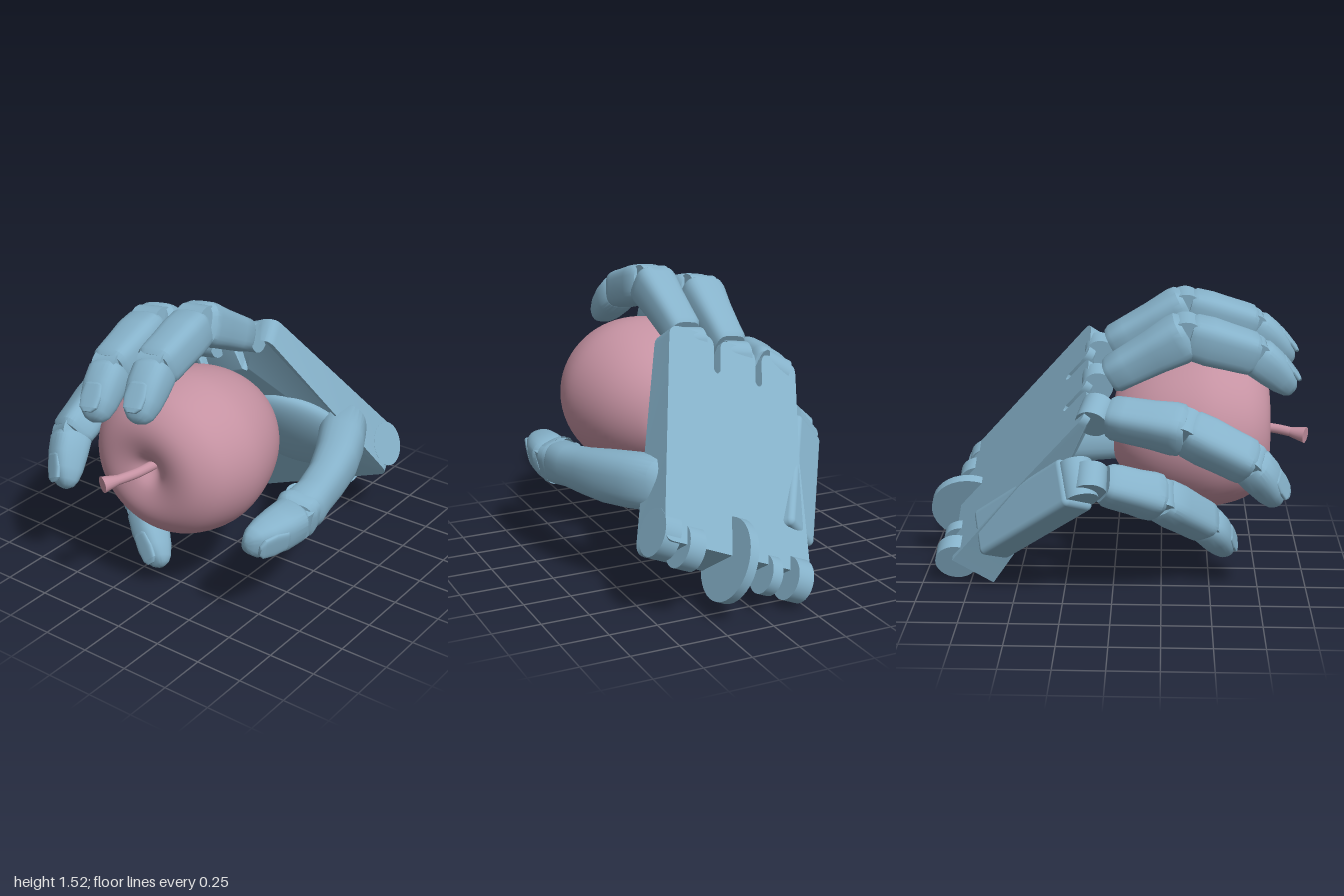
import * as THREE from 'three';
import { toCreasedNormals } from 'three/addons/utils/BufferGeometryUtils.js';
import { RoundedBoxGeometry } from 'three/addons/geometries/RoundedBoxGeometry.js';

const V = (x, y, z) => new THREE.Vector3(x, y, z);
const handMat = new THREE.MeshStandardMaterial({ color: 0x86b2ca });
const appleMat = new THREE.MeshStandardMaterial({ color: 0xc592a2 });

function add(parent, name, geometry, material = handMat) {
  const mesh = new THREE.Mesh(geometry, material);
  mesh.name = name;
  parent.add(mesh);
  return mesh;
}

// Group whose local y runs from a to b, x follows the hinge axis, z points to the palm side
function frame(parent, name, a, b, side) {
  const y = b.clone().sub(a).normalize();
  const z = side.clone().cross(y).normalize();
  const x = y.clone().cross(z);
  const g = new THREE.Group();
  g.name = name;
  g.setRotationFromMatrix(new THREE.Matrix4().makeBasis(x, y, z));
  g.position.copy(a);
  parent.add(g);
  return g;
}

// Rounded-square sections [y, half width, half depth, z shift] joined along y, closed at both ends
function loft(sections, power = 0.6, n = 28) {
  const pos = [], idx = [];
  const pw = (v) => Math.sign(v) * Math.pow(Math.abs(v), power);
  for (const [y, w, d, s = 0] of sections) {
    for (let i = 0; i < n; i++) {
      const t = (i / n) * Math.PI * 2;
      pos.push(w * pw(Math.cos(t)), y, d * pw(Math.sin(t)) + s);
    }
  }
  for (let k = 0; k < sections.length - 1; k++) {
    for (let i = 0; i < n; i++) {
      const a = k * n + i, b = k * n + (i + 1) % n;
      idx.push(a, a + n, b, b, a + n, b + n);
    }
  }
  const last = sections.length - 1;
  const c = pos.length / 3;
  pos.push(0, sections[0][0], sections[0][3] || 0, 0, sections[last][0], sections[last][3] || 0);
  for (let i = 0; i < n; i++) {
    const j = (i + 1) % n;
    idx.push(c, i, j, c + 1, last * n + j, last * n + i);
  }
  const g = new THREE.BufferGeometry();
  g.setAttribute('position', new THREE.Float32BufferAttribute(pos, 3));
  g.setIndex(idx);
  return toCreasedNormals(g, 0.6);
}

// Disc whose axle runs along local x
function disc(radius, width) {
  return toCreasedNormals(new THREE.CylinderGeometry(radius, radius, width, 36).rotateZ(Math.PI / 2), 0.6);
}

// A chain of phalanges with hinge barrels, ending in a rounded tip with a nail
function finger(parent, name, pts, widths) {
  const g = new THREE.Group();
  g.name = name;
  parent.add(g);
  const n = pts.length - 1;
  const side = pts[1].clone().sub(pts[0]).cross(pts[n].clone().sub(pts[n - 1])).normalize();
  for (let i = 0; i < n; i++) {
    const seg = frame(g, 'phalanx', pts[i], pts[i + 1], side);
    const L = pts[i].distanceTo(pts[i + 1]);
    const w = widths[i], e = widths[i + 1], d = w * 0.98;
    add(seg, 'hingeBarrel', disc(w * 0.82, w * 1.35));
    if (i < n - 1) {
      const s = i === 0 ? 0.07 : 0.015;
      add(seg, 'phalanxShell', loft([
        [s, w * 0.85, d * 0.8], [s + 0.025, w * 0.97, d * 0.95], [L * 0.35, w, d],
        [L * 0.65, (w + e) / 2, (d + e) / 2], [L - 0.05, e * 1.04, e * 1.03],
        [L - 0.01, e * 1.02, e], [L + 0.015, e * 0.86, e * 0.82],
      ]));
    } else {
      add(seg, 'fingertip', loft([
        [0.01, w * 0.86, d * 0.86], [0.035, w * 0.98, d], [L * 0.4, w * 0.97, d * 0.95],
        [L * 0.68, w * 0.88, d * 0.8, w * 0.06], [L * 0.87, w * 0.72, d * 0.58, w * 0.14],
        [L * 0.96, w * 0.5, d * 0.36, w * 0.2], [L, w * 0.2, d * 0.14, w * 0.22],
      ], 0.72));
      const nail = add(seg, 'nail', loft([
        [-0.5, 0.62, 0.4], [-0.42, 0.85, 0.5], [0, 1, 0.5], [0.38, 0.85, 0.45], [0.52, 0.45, 0.3],
      ]));
      nail.scale.set(w * 0.6, L * 0.5, w * 0.3);
      nail.position.set(0, L * 0.69, -d * 0.62);
      nail.rotation.x = 0.22;
    }
  }
  return g;
}

export function createModel() {
  const model = new THREE.Group();
  model.name = 'handHoldingApple';

  // Apple, its stem axis pointing forward
  const apple = new THREE.Group();
  apple.name = 'apple';
  model.add(apple);
  const profile = [[0, 0.07], [0.07, 0.03], [0.16, 0], [0.255, 0.06], [0.34, 0.17], [0.4, 0.31], [0.43, 0.46],
    [0.415, 0.59], [0.37, 0.7], [0.29, 0.775], [0.2, 0.8], [0.1, 0.78], [0.035, 0.73], [0, 0.71]];
  const curve = new THREE.SplineCurve(profile.map(([r, z]) => new THREE.Vector2(r, z)));
  const points = curve.getPoints(60).map((p) => new THREE.Vector2(Math.max(p.x, 0), p.y));
  const flesh = add(apple, 'appleBody', new THREE.LatheGeometry(points, 64).rotateX(Math.PI / 2), appleMat);
  flesh.scale.set(1.03, 0.97, 1);
  flesh.position.set(0.033, 0.795, 0);
  const stemPath = new THREE.CatmullRomCurve3([V(0.02, 0.8, 0.68), V(0, 0.795, 0.82), V(-0.045, 0.785, 0.93)]);
  add(apple, 'stem', new THREE.TubeGeometry(stemPath, 16, 0.025, 14), appleMat);
  const stemEnd = frame(apple, 'stemEnd', V(-0.04, 0.786, 0.915), V(-0.075, 0.78, 0.99), V(1, 0, 0.4));
  add(stemEnd, 'stemFlare', new THREE.CylinderGeometry(0.042, 0.025, 0.08, 18).translate(0, 0.04, 0), appleMat);

  // Palm: flat back at z = 0, thicker toward the wrist, slotted between the knuckles
  const wrist = V(0.1, 0.315, -0.835);
  const palm = frame(model, 'palm', wrist, wrist.clone().add(V(-0.3, 0.73, 0.61)), V(0.92, 0.38, 0));
  const s = new THREE.Shape();
  s.moveTo(-0.43, 0);
  s.lineTo(0.38, 0);
  s.quadraticCurveTo(0.43, 0, 0.43, 0.06);
  s.lineTo(0.42, 1.1);
  for (const x of [0.26, 0, -0.26]) {
    const r = x > 0.2 ? 0.16 : 0.11;
    s.lineTo(x + r, 1.1);
    s.quadraticCurveTo(x + r, 1.17, x + 0.05, 1.16);
    s.lineTo(x - 0.05, 1.16);
    s.quadraticCurveTo(x - 0.11, 1.16, x - 0.11, 1.1);
    if (x > -0.2) {
      s.lineTo(x - 0.11, 0.98);
      s.quadraticCurveTo(x - 0.13, 0.94, x - 0.15, 0.98);
    }
  }
  s.lineTo(-0.38, 0.6);
  const plate = new THREE.ExtrudeGeometry(s, { depth: 1, bevelEnabled: false, curveSegments: 6 });
  const p = plate.attributes.position;
  for (let i = 0; i < p.count; i++) {
    const knuckleTab = p.getY(i) > 1.05 && p.getX(i) < 0.35;
    p.setZ(i, p.getZ(i) * (knuckleTab ? 0.04 : 0.26 - 0.11 * p.getY(i)));
  }
  add(palm, 'palmShell', toCreasedNormals(plate, 0.5));
  const pad = add(palm, 'palmPad', new THREE.SphereGeometry(1, 32, 20));
  pad.scale.set(0.3, 0.34, 0.1);
  pad.position.set(0.08, 0.42, 0.19);

  // Wrist lugs and the large centre disc
  for (const [x, y, z, r, w] of [[0.02, 0, 0.06, 0.21, 0.05], [-0.35, -0.03, 0.04, 0.11, 0.09],
    [-0.2, -0.03, 0.06, 0.1, 0.06], [0.26, 0.02, 0.08, 0.11, 0.09], [0.385, 0.07, 0.11, 0.12, 0.09]]) {
    add(palm, 'wristLug', disc(r, w)).position.set(x, y, z);
  }

  // Splayed side slab carrying the little finger
  const slab = frame(model, 'littleFingerBase', V(-0.27, 0.28, -0.64), V(-0.6, 0.71, -0.13), V(0.68, 0.66, -0.25));
  add(slab, 'slabShell', new RoundedBoxGeometry(0.25, 0.69, 0.19, 3, 0.03)).position.y = 0.345;
  add(slab, 'slabKnuckle', disc(0.085, 0.2)).position.y = 0.7;

  // Fingers
  finger(model, 'indexFinger', [V(0.01, 1.2, -0.08), V(0.02, 1.43, 0.36), V(0.045, 1.33, 0.7), V(0.09, 1.15, 0.93)],
    [0.095, 0.11, 0.1, 0.09]);
  finger(model, 'middleFinger', [V(-0.25, 1.1, -0.08), V(-0.26, 1.35, 0.36), V(-0.235, 1.25, 0.7), V(-0.19, 1.07, 0.92)],
    [0.095, 0.115, 0.1, 0.09]);
  finger(model, 'ringFinger', [V(-0.48, 1, -0.08), V(-0.57, 0.95, 0.35), V(-0.555, 0.785, 0.67), V(-0.48, 0.57, 0.85)],
    [0.1, 0.11, 0.1, 0.095]);
  finger(model, 'littleFinger', [V(-0.6, 0.7, -0.1), V(-0.49, 0.575, 0.23), V(-0.25, 0.36, 0.47), V(-0.05, 0.14, 0.62)],
    [0.1, 0.105, 0.095, 0.09]);

  // Thumb: one smooth bowed base, then the tip
  const knuckle = V(0.6, 0.53, 0.34), root = V(0.34, 0.62, -0.5);
  finger(model, 'thumb', [knuckle.clone().lerp(root, 0.12), knuckle, V(0.58, 0.52, 0.69)], [0.108, 0.11, 0.115]);
  const base = frame(model, 'thumbBase', root, knuckle, V(0, -1, 0));
  const L = root.distanceTo(knuckle);
  const sections = [[-0.08, 0.06, 0.06], [-0.05, 0.11, 0.1], [0, 0.135, 0.13], [0.2, 0.14, 0.125], [0.4, 0.135, 0.115],
    [0.6, 0.12, 0.1], [0.78, 0.108, 0.097], [0.9, 0.115, 0.108], [0.95, 0.1, 0.095]];
  add(base, 'thumbBaseShell', loft(sections.map(([t, w, d]) =>
    [t * L, w, d, -0.06 * Math.sin(Math.PI * t)]), 0.8));
  return model;
}
